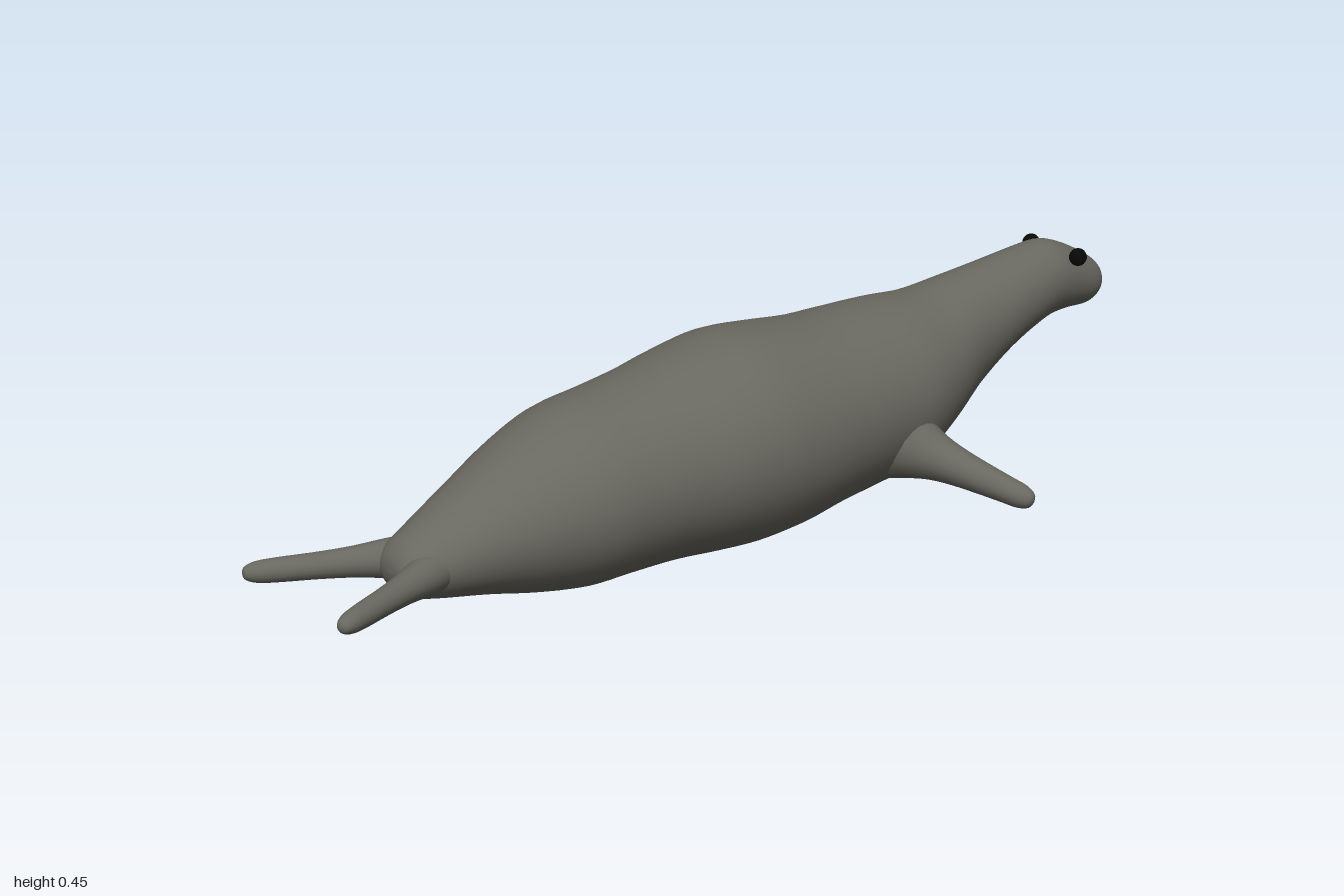
import * as THREE from 'three';

const skin = new THREE.MeshStandardMaterial({ color: 0x696860 });
skin.name = 'greySkin';
const black = new THREE.MeshStandardMaterial({ color: 0x080808 });
black.name = 'eyeBlack';

// Body stations from tail to nose: x, bottom, top, half width
const STATIONS = [
  [-0.79, 0.13, 0.13, 0], [-0.785, 0.105, 0.155, 0.04], [-0.765, 0.082, 0.18, 0.066],
  [-0.72, 0.066, 0.207, 0.083], [-0.6, 0.045, 0.272, 0.122], [-0.5, 0.024, 0.325, 0.155],
  [-0.4, 0.01, 0.363, 0.18], [-0.3, 0.012, 0.378, 0.188], [-0.2, 0.013, 0.394, 0.197],
  [-0.1, 0.007, 0.415, 0.212], [0, 0.003, 0.43, 0.219], [0.1, 0.011, 0.424, 0.214],
  [0.2, 0.03, 0.415, 0.203], [0.3, 0.043, 0.415, 0.193], [0.4, 0.06, 0.415, 0.182],
  [0.5, 0.112, 0.412, 0.15], [0.6, 0.176, 0.426, 0.113], [0.7, 0.237, 0.438, 0.094],
  [0.8, 0.28, 0.451, 0.08], [0.85, 0.293, 0.453, 0.074], [0.9, 0.296, 0.436, 0.066],
  [0.95, 0.295, 0.41, 0.056], [0.98, 0.306, 0.39, 0.043], [0.994, 0.325, 0.372, 0.025],
  [1, 0.348, 0.348, 0],
];

// Smooth elliptical loft through the stations
function bodyGeometry(steps = 96, sides = 40) {
  const spline = (f) => new THREE.CatmullRomCurve3(STATIONS.map(f), false, 'catmullrom', 0.5);
  const centre = spline(([x, b, t]) => new THREE.Vector3(x, (b + t) / 2, 0));
  const radii = spline(([, b, t, w]) => new THREE.Vector3((t - b) / 2, w, 0));
  const pos = [], index = [];
  for (let i = 0; i <= steps; i++) {
    const c = centre.getPoint(i / steps), r = radii.getPoint(i / steps);
    for (let j = 0; j < sides; j++) {
      const a = (j / sides) * Math.PI * 2;
      pos.push(c.x, c.y + r.x * Math.cos(a), r.y * Math.sin(a));
      if (i === steps) continue;
      const k = (j + 1) % sides, p = i * sides, q = p + sides;
      index.push(p + j, p + k, q + j, p + k, q + k, q + j);
    }
  }
  const g = new THREE.BufferGeometry();
  g.setAttribute('position', new THREE.Float32BufferAttribute(pos, 3));
  g.setIndex(index);
  g.computeVertexNormals();
  return g;
}

// Tapered round flipper from root to tip; profile pairs are radius, fraction of length
function flipper(name, root, tip, profile) {
  const a = new THREE.Vector3(...root), dir = new THREE.Vector3(...tip).sub(a);
  const curve = new THREE.SplineCurve(profile.map(([r, t]) => new THREE.Vector2(r, t * dir.length())));
  const pts = curve.getPoints(32).map((p) => new THREE.Vector2(Math.max(p.x, 0), p.y));
  const mesh = new THREE.Mesh(new THREE.LatheGeometry(pts, 20), skin);
  mesh.name = name;
  mesh.position.copy(a);
  mesh.quaternion.setFromUnitVectors(new THREE.Vector3(0, 1, 0), dir.normalize());
  return mesh;
}

const FORE = [[0.085, 0], [0.064, 0.15], [0.047, 0.3], [0.038, 0.45], [0.032, 0.62],
  [0.027, 0.8], [0.024, 0.91], [0.015, 0.98], [0, 1]];
const HIND = [[0.042, 0], [0.037, 0.2], [0.029, 0.4], [0.025, 0.6],
  [0.023, 0.8], [0.02, 0.92], [0.012, 0.985], [0, 1]];

export function createModel() {
  const model = new THREE.Group();
  model.name = 'seal';

  const body = new THREE.Mesh(bodyGeometry(), skin);
  body.name = 'body';
  model.add(body);

  // Paired flippers and eyes
  for (const s of [1, -1]) {
    const side = s > 0 ? 'Front' : 'Back';
    model.add(flipper('foreFlipper' + side, [0.335, 0.165, s * 0.125], [0.465, 0.076, s * 0.382], FORE));
    model.add(flipper('hindFlipper' + side, [-0.69, 0.132, s * 0.032], [-1, 0.132, s * 0.163], HIND));
    const eye = new THREE.Mesh(new THREE.SphereGeometry(0.0185, 16, 12), black);
    eye.name = 'eye' + side;
    eye.position.set(0.88, 0.424, s * 0.069);
    model.add(eye);
  }
  return model;
}
